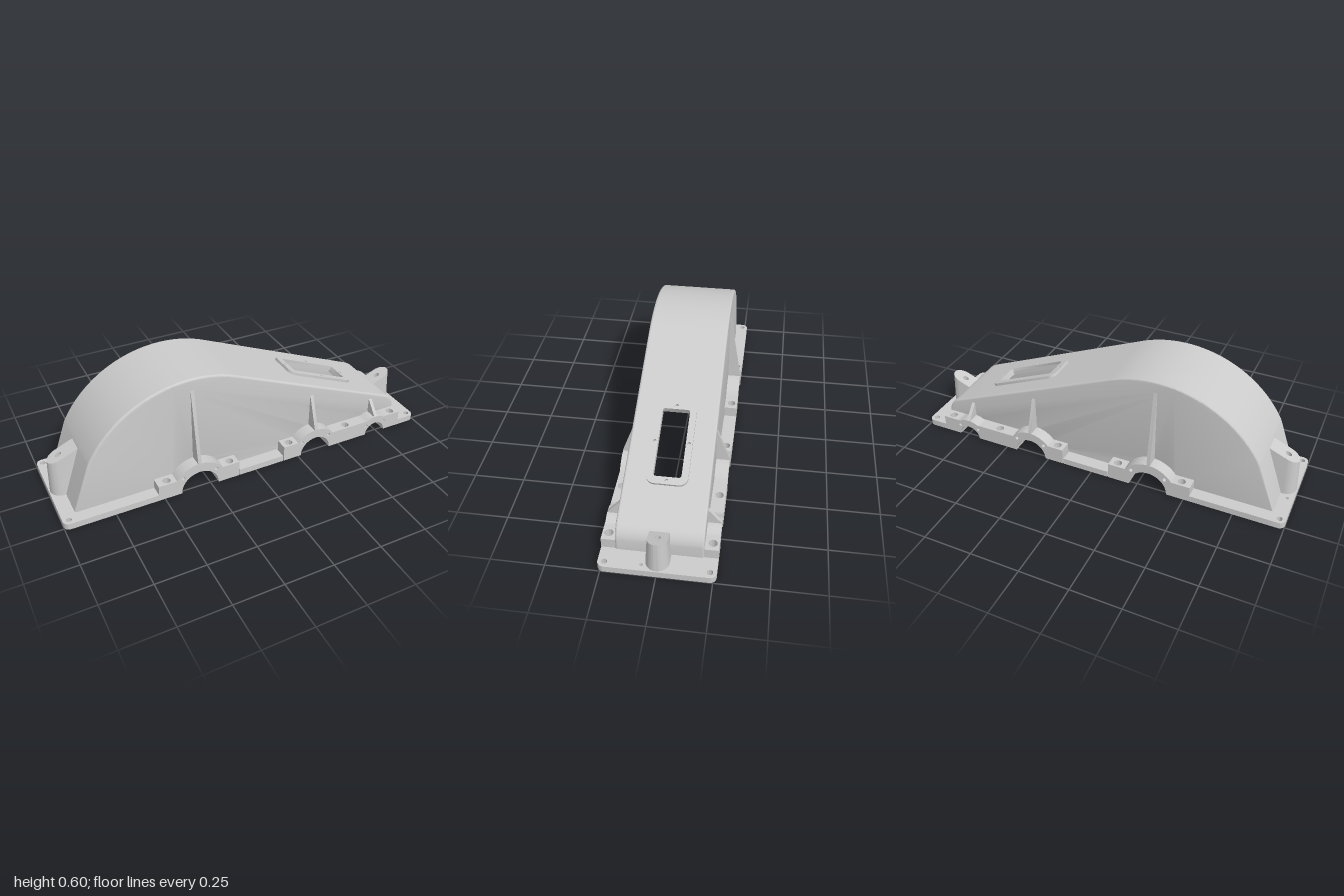
import * as THREE from 'three';
import { toCreasedNormals } from 'three/addons/utils/BufferGeometryUtils.js';

const material = new THREE.MeshStandardMaterial({ color: 0xcccccc, side: THREE.DoubleSide });
const WALL = 0.02, Z_IN = 0.18, Z_BODY = 0.2, Z_OUT = 0.265;
const SLOPE = THREE.MathUtils.degToRad(22.8);
const ARC = { x: -0.31, r: 0.6 };
const V = (x, y) => new THREE.Vector2(x, y);

// point at distance s down the straight sloping roof
const onSlope = s => V(
  ARC.x + ARC.r * Math.sin(SLOPE) + s * Math.cos(SLOPE),
  ARC.r * Math.cos(SLOPE) - s * Math.sin(SLOPE));

const BORES = [
  { x: -0.31, r: 0.1, ring: 0.15, half: 0.125, screw: 0.126, ribTop: 0.54, ribLow: 0.15 },
  { x: 0.355, r: 0.087, ring: 0.135, half: 0.105, screw: 0.112, ribTop: 0.315, ribLow: 0.138 },
  { x: 0.735, r: 0.06, ring: 0.1, half: 0.075, screw: 0.08, ribTop: 0.178, ribLow: 0.1 },
];
const PAD_H = 0.085, FLANGE_H = 0.033;
const WINDOW = { s: 0.605, u: 0.1735, v: 0.065 };

function addHole(shape, x, y, r) {
  shape.holes.push(new THREE.Path().absarc(x, y, r, 0, Math.PI * 2, true));
}

function roundedRect(x0, x1, y0, y1, r) {
  const s = new THREE.Shape();
  s.moveTo(x0 + r, y0).lineTo(x1 - r, y0);
  s.absarc(x1 - r, y0 + r, r, -Math.PI / 2, 0);
  s.absarc(x1 - r, y1 - r, r, 0, Math.PI / 2);
  s.absarc(x0 + r, y1 - r, r, Math.PI / 2, Math.PI);
  s.absarc(x0 + r, y0 + r, r, Math.PI, Math.PI * 1.5);
  return s;
}

function extrude(shape, depth, options = {}) {
  return new THREE.ExtrudeGeometry(shape, { depth, bevelEnabled: false, curveSegments: 20, ...options });
}

function addMesh(parent, name, geometry) {
  const mesh = new THREE.Mesh(toCreasedNormals(geometry, 0.55), material);
  mesh.name = name;
  parent.add(mesh);
  return mesh;
}

// front-view shape extruded between two z positions
function addAlongZ(parent, name, shape, za, zb) {
  return addMesh(parent, name, extrude(shape, Math.abs(zb - za)).translate(0, 0, Math.min(za, zb)));
}

// plan shape (x, -z) extruded upward
const upward = (shape, h) => extrude(shape, h).rotateX(-Math.PI / 2);

// rectangular plate with vertical holes [x, z, r]
function addPlate(parent, name, x0, x1, za, zb, h, holes = []) {
  const s = new THREE.Shape([V(x0, -za), V(x1, -za), V(x1, -zb), V(x0, -zb)]);
  holes.forEach(([x, z, r]) => addHole(s, x, -z, r));
  return addMesh(parent, name, upward(s, h));
}

// outer line of the roof, cut into the parts before, at and after the window
function roofLines() {
  const a = onSlope(WINDOW.s - WINDOW.u), b = onSlope(WINDOW.s + WINDOW.u);
  const front = [V(-0.935, 0.02)];
  const a0 = Math.PI - Math.asin(0.28 / ARC.r), a1 = Math.PI / 2 - SLOPE;
  for (let i = 0; i <= 48; i++) {
    const t = a0 + (a1 - a0) * i / 48;
    front.push(V(ARC.x + ARC.r * Math.cos(t), ARC.r * Math.sin(t)));
  }
  front.push(a);
  const nose = new THREE.QuadraticBezierCurve(onSlope(0.985), V(0.885, 0.15), V(0.895, 0.095));
  return [front, [a, b], [b, ...nose.getPoints(10), V(0.895, 0.02)]];
}

// closed band of wall thickness below a line
function bandShape(line) {
  const inner = line.map((p, i) => {
    const d = line[Math.min(i + 1, line.length - 1)].clone().sub(line[Math.max(i - 1, 0)]).normalize();
    return V(p.x + d.y * WALL, p.y - d.x * WALL);
  });
  return new THREE.Shape([...line, ...inner.reverse()]);
}

function addBody(group) {
  const lines = roofLines();
  const z = Z_BODY - 0.01;
  addAlongZ(group, 'roofArch', bandShape(lines[0]), -z, z);
  addAlongZ(group, 'roofNose', bandShape(lines[2]), -z, z);
  for (const side of [1, -1]) {
    addAlongZ(group, 'roofBesideWindow', bandShape(lines[1]), side * WINDOW.v, side * z);
    // side wall with rounded rim and clearance for the bores
    const wall = new THREE.Shape(lines.flat().filter((p, i, all) => !i || p.distanceTo(all[i - 1]) > 1e-4));
    for (const b of [...BORES].reverse()) {
      const r = b.r + 0.015, t = Math.asin(0.02 / r);
      wall.lineTo(b.x + r * Math.cos(t), 0.02);
      wall.absarc(b.x, 0, r, t, Math.PI - t, false);
    }
    wall.closePath();
    const geo = extrude(wall, 0.0001, {
      bevelEnabled: true, bevelSize: 0.01, bevelOffset: -0.01, bevelThickness: 0.01, bevelSegments: 3,
    });
    addMesh(group, 'sideWall', geo.translate(0, 0, side * (Z_BODY - 0.01)));
  }
}

// half-ring bearing seat in front view
function seatShape(b, screws) {
  const t = Math.asin(PAD_H / b.ring), s = new THREE.Shape();
  s.moveTo(b.x + b.r, 0).lineTo(b.x + b.half, 0).lineTo(b.x + b.half, PAD_H);
  s.lineTo(b.x + b.ring * Math.cos(t), PAD_H);
  s.absarc(b.x, 0, b.ring, t, Math.PI - t, false);
  s.lineTo(b.x - b.half, PAD_H).lineTo(b.x - b.half, 0).lineTo(b.x - b.r, 0);
  s.absarc(b.x, 0, b.r, Math.PI, 0, true);
  if (screws) for (const k of [1, -1]) {
    addHole(s, b.x + k * b.screw * Math.SQRT1_2, b.screw * Math.SQRT1_2, b.r * 0.06 + 0.004);
  }
  return s;
}

function addSide(group, side) {
  const zi = side * Z_IN, zo = side * Z_OUT, zh = side * 0.235;
  // thin flange runs
  addPlate(group, 'flangeRail', -0.92, -0.53, zi, zo, FLANGE_H);
  addPlate(group, 'flangeRail', -0.09, 0.16, zi, zo, FLANGE_H);
  // raised bolt pads between the bearing seats: [start, end, hole]
  for (const [x0, x1, hole] of [[-0.53, -0.435, -0.478], [-0.185, -0.095, -0.137],
    [0.165, 0.25, 0.207], [0.46, 0.66, 0.556], [0.81, 0.89, 0.85]]) {
    addPlate(group, 'boltPad', x0, x1, zi, zo, PAD_H, [[hole, zh, 0.02]]);
  }
  for (const b of BORES) {
    addAlongZ(group, 'bearingSeat', seatShape(b, false), zi, zo - side * 0.03);
    addAlongZ(group, 'bearingSeatFace', seatShape(b, true), zo - side * 0.03, zo);
    // stiffening rib above the seat
    const rib = new THREE.Shape([V(side * 0.19, b.ribLow - 0.02), V(zo, b.ribLow - 0.02),
      V(zo, b.ribLow), V(side * Z_BODY, b.ribTop), V(side * 0.19, b.ribTop)]);
    addMesh(group, 'rib', extrude(rib, 0.018).rotateY(-Math.PI / 2).translate(b.x + 0.009, 0, 0));
  }
}

// end plate of the flange with rounded outer corners
function addEndPlate(group, dir, inner, dowelZ) {
  const s = new THREE.Shape(), r = 0.03, z = Z_OUT;
  s.moveTo(inner, -z).lineTo(1 - r, -z);
  s.absarc(1 - r, -z + r, r, -Math.PI / 2, 0);
  s.absarc(1 - r, z - r, r, 0, Math.PI / 2);
  s.lineTo(inner, z);
  for (const k of [1, -1]) addHole(s, 0.97, k * 0.235, 0.014);
  addHole(s, 0.967, dowelZ, 0.008);
  const mesh = addMesh(group, 'endFlange', upward(s, FLANGE_H));
  if (dir < 0) mesh.rotation.y = Math.PI;
}

// lifting lug: tapered rounded column with a slanted top that meets the end wall
function addLug(group, dir, { hole, back, wallLow, wallHigh, top, slant }) {
  const w = 0.055, s = new THREE.Shape();
  s.moveTo(back, -w).lineTo(0.995 - w, -w);
  s.absarc(0.995 - w, 0, w, -Math.PI / 2, Math.PI / 2);
  s.lineTo(back, w);
  addHole(s, hole, 0, 0.016);
  const geo = upward(s, 1), p = geo.attributes.position;
  for (let i = 0; i < p.count; i++) {
    const t = p.getY(i);
    const x = Math.max(p.getX(i) - 0.008 * t, t > 0.5 ? wallHigh : wallLow);
    p.setXYZ(i, x, t > 0.5 ? top + (x - 0.987) * slant : 0.025, p.getZ(i) * (1 - 0.17 * t));
  }
  const mesh = addMesh(group, 'liftingLug', geo);
  if (dir < 0) mesh.rotation.y = Math.PI;
}

function addWindowFrame(group) {
  const s = roundedRect(-0.21, 0.21, -0.097, 0.097, 0.04);
  const { u, v } = WINDOW;
  s.holes.push(new THREE.Path(roundedRect(-u, u, -v, v, 0.012).getPoints(6).reverse()));
  for (const k of [1, -1]) {
    addHole(s, k * 0.192, 0, 0.008);
    addHole(s, 0, k * 0.081, 0.008);
  }
  const mesh = addMesh(group, 'windowFrame', upward(s, 0.018).translate(0, -0.004, 0));
  const c = onSlope(WINDOW.s);
  mesh.position.set(c.x, c.y, 0);
  mesh.rotation.z = -SLOPE;
}

export function createModel() {
  const group = new THREE.Group();
  group.name = 'gearHousingCover';
  addBody(group);
  addSide(group, 1);
  addSide(group, -1);
  addEndPlate(group, 1, 0.88, -0.07);
  addEndPlate(group, -1, 0.92, -0.08);
  addLug(group, 1, { hole: 0.927, back: 0.865, wallLow: 0.885, wallHigh: 0.868, top: 0.195, slant: 0.41 });
  addLug(group, -1, { hole: 0.937, back: 0.83, wallLow: 0.925, wallHigh: 0.835, top: 0.215, slant: -0.42 });
  addWindowFrame(group);
  return group;
}
